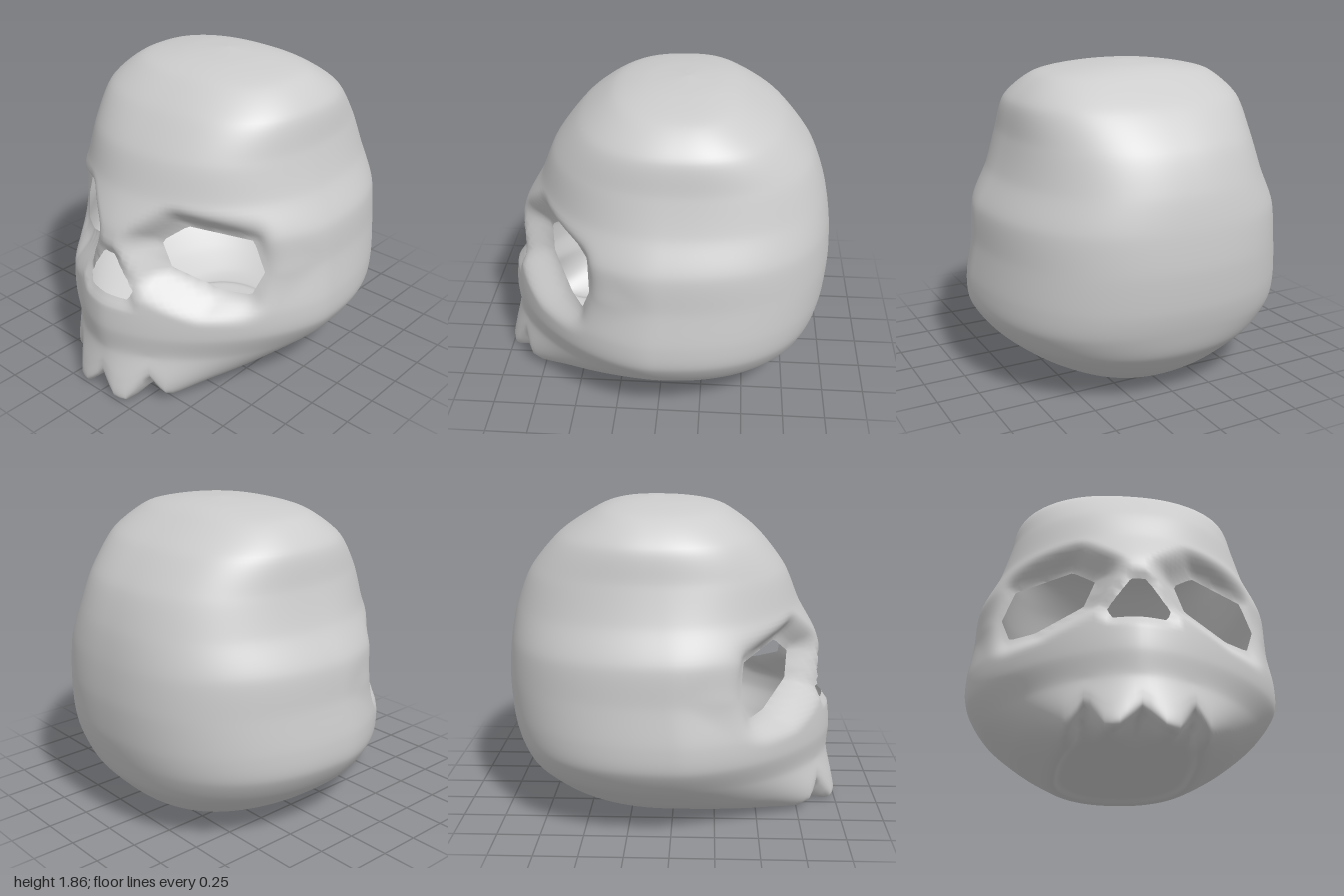
import * as THREE from 'three';

// horizontal sections from crown to underside:
// y, half width, front z, back z, front roundness, back roundness, centre z
const SECTIONS = [
  [1.86, 0.001, -0.129, -0.131, 2.3, 2.3, -0.13],
  [1.84, 0.27, 0.13, -0.33, 2.3, 2.3, -0.12],
  [1.79, 0.52, 0.31, -0.47, 2.4, 2.4, -0.12],
  [1.65, 0.675, 0.50, -0.69, 2.4, 2.4, -0.10],
  [1.45, 0.72, 0.66, -0.86, 2.2, 2.4, -0.07],
  [1.24, 0.785, 0.75, -0.945, 1.95, 2.4, -0.03],
  [1.04, 0.88, 0.86, -0.985, 1.75, 2.4, 0],
  [0.82, 0.90, 0.915, -1.0, 1.6, 2.4, 0],
  [0.60, 0.93, 0.95, -0.985, 1.6, 2.4, 0.03],
  [0.45, 0.92, 0.965, -0.95, 1.6, 2.4, 0.03],
  [0.30, 0.82, 0.955, -0.89, 1.7, 2.3, 0],
  [0.15, 0.64, 0.975, -0.75, 2.1, 2.2, 0],
  [0.05, 0.47, 0.98, -0.60, 2.6, 2.2, 0],
  [0.025, 0.40, 0.93, -0.48, 2.6, 2.2, 0],
  [0.05, 0.34, 0.78, -0.40, 2.4, 2.2, 0],
  [0.03, 0.15, 0.35, -0.20, 2.2, 2.2, 0],
  [0.03, 0.001, 0.001, -0.001, 2, 2, 0],
];
const EYE = [[0.22, 0.97], [0.34, 1.07], [0.66, 1.02], [0.73, 0.84], [0.68, 0.70], [0.54, 0.71], [0.28, 0.82]];
const NOSE = [[0.04, 0.90], [0.17, 0.71], [0.15, 0.65], [-0.15, 0.65], [-0.17, 0.71], [-0.04, 0.90]];
const SUB = 8, AROUND = 160;

const smooth = THREE.MathUtils.smoothstep;

// smooth interpolation between sections
function section(t) {
  const last = SECTIONS.length - 1, i = Math.min(Math.floor(t), last - 1), f = t - i;
  const at = k => SECTIONS[Math.max(0, Math.min(last, k))];
  return SECTIONS[0].map((_, c) => {
    const a = at(i - 1)[c], b = at(i)[c], d = at(i + 1)[c], e = at(i + 2)[c];
    const m0 = (d - a) * 0.4, m1 = (e - b) * 0.4, f2 = f * f, f3 = f2 * f;
    return (2 * f3 - 3 * f2 + 1) * b + (f3 - 2 * f2 + f) * m0 + (3 * f2 - 2 * f3) * d + (f3 - f2) * m1;
  });
}

function inside(poly, x, y) {
  let hit = false;
  poly.forEach(([ax, ay], i) => {
    const [bx, by] = poly[(i + 1) % poly.length];
    if ((ay > y) !== (by > y) && x < ax + (bx - ax) * (y - ay) / (by - ay)) hit = !hit;
  });
  return hit;
}

// nearest point on the rim of an opening
function nearest(poly, x, y) {
  let best = { d: Infinity };
  poly.forEach(([ax, ay], i) => {
    const [bx, by] = poly[(i + 1) % poly.length], ex = bx - ax, ey = by - ay;
    const k = THREE.MathUtils.clamp(((x - ax) * ex + (y - ay) * ey) / (ex * ex + ey * ey), 0, 1);
    const px = ax + ex * k, py = ay + ey * k, d = Math.hypot(px - x, py - y);
    if (d < best.d) best = { x: px, y: py, d };
  });
  return best;
}
const distance = (poly, x, y) => inside(poly, x, y) ? 0 : nearest(poly, x, y).d;

const socketDepth = (x, y) => 0.58 - 0.6 * (x - 0.4) - 0.15 * (y - 0.85);

// sink the sockets and nose, notch the teeth
function sculpt(p) {
  const ax = Math.abs(p.x);
  if (p.z > 0.1 && p.y > 0.4 && p.y < 1.35) {
    const w = 1 - smooth(distance(EYE, ax, p.y), 0, 0.16);
    p.z += (socketDepth(ax, p.y) - p.z) * w;
    p.z -= 0.03 * (1 - smooth(distance(NOSE, p.x, p.y), 0, 0.06));
  }
  if (p.y < 0.35) {
    const front = smooth(p.z, 0.55, 0.85), low = 1 - smooth(p.y, 0.03, 0.35);
    const gap = Math.max(0, 1 - ax / 0.12) * 0.8 + Math.max(0, 1 - Math.abs(ax - 0.28) / 0.09);
    p.y += front * low * (gap * 0.14 - 0.02);
    p.z += front * low * (0.03 - gap * 0.05);
  }
}

function skullGeometry() {
  const rows = (SECTIONS.length - 1) * SUB, pts = [];
  for (let i = 0; i <= rows; i++) {
    const [y, w, front, back, nf, nb, zc] = section(i / SUB);
    for (let j = 0; j < AROUND; j++) {
      const a = j / AROUND * Math.PI * 2, c = Math.cos(a), s = Math.sin(a);
      const depth = Math.max(0.001, s >= 0 ? front - zc : zc - back), n = s >= 0 ? nf : nb;
      const half = Math.max(0.001, w);
      const r = (Math.abs(c / half) ** n + Math.abs(s / depth) ** n) ** (-1 / n);
      const p = new THREE.Vector3(r * c, y, zc + r * s);
      sculpt(p);
      pts.push(p);
    }
  }

  // cut the openings, remembering the vertices along each rim
  const index = [], kept = new Set(), cut = new Map();
  const addFace = (...f) => {
    const m = f.reduce((v, k) => v.add(pts[k]), new THREE.Vector3()).divideScalar(3);
    const hole = m.z < 0.1 ? null
      : inside(EYE, Math.abs(m.x), m.y) ? EYE
      : inside(NOSE, m.x, m.y) ? NOSE : null;
    if (hole) f.forEach(k => cut.set(k, hole));
    else { index.push(...f); f.forEach(k => kept.add(k)); }
  };
  for (let i = 0; i < rows; i++) {
    for (let j = 0; j < AROUND; j++) {
      const a = i * AROUND + j, c = i * AROUND + (j + 1) % AROUND;
      const b = a + AROUND, d = c + AROUND;
      addFace(a, c, b);
      addFace(c, d, b);
    }
  }

  // pull rim vertices onto the outlines
  cut.forEach((hole, k) => {
    if (!kept.has(k)) return;
    const p = pts[k], side = hole === EYE && p.x < 0 ? -1 : 1;
    const q = nearest(hole, p.x * side, p.y);
    p.x = q.x * side;
    p.y = q.y;
    if (hole === EYE) p.z = socketDepth(q.x, q.y);
  });

  const g = new THREE.BufferGeometry().setFromPoints(pts);
  g.setIndex(index);
  g.computeVertexNormals();
  return g;
}

export function createModel() {
  const bone = new THREE.MeshStandardMaterial({ color: 0xcccccc, side: THREE.DoubleSide });
  bone.name = 'boneGrey';
  const skull = new THREE.Mesh(skullGeometry(), bone);
  skull.name = 'skullShell';

  // stand on the ground, centred in depth
  const box = new THREE.Box3().setFromObject(skull);
  skull.position.set(0, -box.min.y, -(box.min.z + box.max.z) / 2);

  const group = new THREE.Group();
  group.name = 'skull';
  group.add(skull);
  return group;
}
